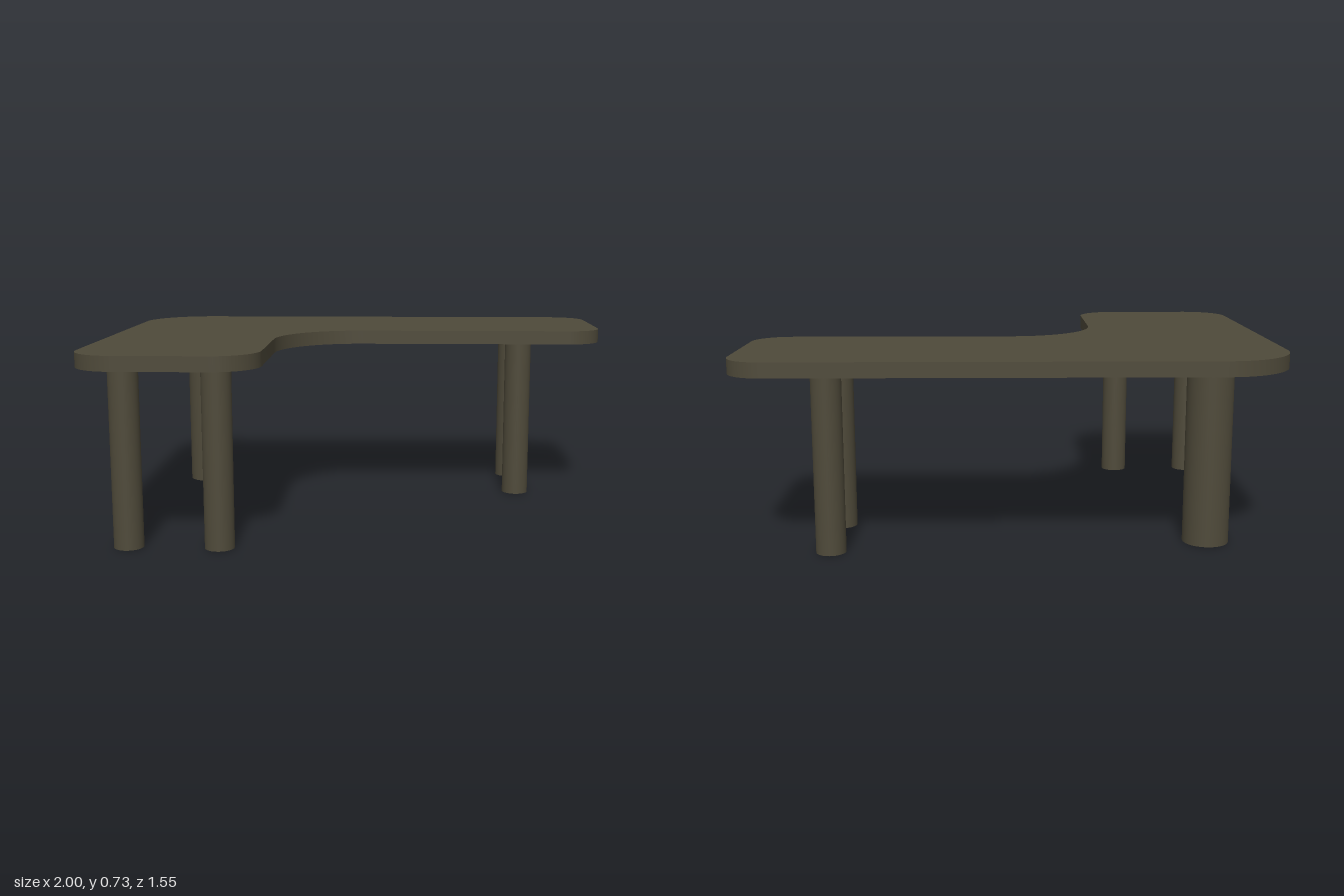
import * as THREE from 'three';
import { toCreasedNormals } from 'three/addons/utils/BufferGeometryUtils.js';

const TOP = 0.725, UNDERSIDE = 0.67;

export function createModel() {
  const model = new THREE.Group();
  model.name = 'cornerDesk';
  const darkWood = new THREE.MeshStandardMaterial({ color: 0x4f4a3a });
  darkWood.name = 'darkWood';

  // L-shaped outline: corner x, corner z, rounding radius
  const corners = [
    [-1, -0.78, 0.27], [1, -0.78, 0.135], [1, -0.115, 0.135],
    [-0.335, -0.115, 0.335], [-0.335, 0.775, 0.165], [-1, 0.775, 0.165],
  ];
  const outline = new THREE.Shape();
  corners.forEach(([x, z, r], i) => {
    const corner = new THREE.Vector2(x, z);
    const towards = (j) => {
      const [nx, nz] = corners[(j + corners.length) % corners.length];
      return new THREE.Vector2(nx, nz).sub(corner).normalize().multiplyScalar(r);
    };
    const a = towards(i - 1), b = towards(i + 1);
    const centre = corner.clone().add(a).add(b);
    const start = b.clone().negate(), end = a.clone().negate();
    const clockwise = start.cross(end) < 0;
    if (i === 0) outline.moveTo(x + a.x, z + a.y);
    else outline.lineTo(x + a.x, z + a.y);
    outline.absarc(centre.x, centre.y, r, start.angle(), end.angle(), clockwise);
  });
  outline.closePath();

  // Tabletop slab
  const slab = new THREE.ExtrudeGeometry(outline, {
    depth: TOP - UNDERSIDE, bevelEnabled: false, curveSegments: 20,
  });
  slab.rotateX(Math.PI / 2);
  const tabletop = new THREE.Mesh(toCreasedNormals(slab, 0.6), darkWood);
  tabletop.name = 'tabletop';
  tabletop.position.y = TOP;
  model.add(tabletop);

  // Round legs, with a thicker one under the corner
  const addLeg = (name, x, z, radius) => {
    const leg = new THREE.Mesh(new THREE.CylinderGeometry(radius, radius, UNDERSIDE, 40), darkWood);
    leg.name = name;
    leg.position.set(x, UNDERSIDE / 2, z);
    model.add(leg);
  };
  addLeg('cornerLeg', -0.725, -0.503, 0.086);
  addLeg('frontOuterLeg', -0.835, 0.612, 0.055);
  addLeg('frontInnerLeg', -0.5, 0.612, 0.055);
  addLeg('sideFrontLeg', 0.665, -0.277, 0.055);
  addLeg('sideBackLeg', 0.665, -0.611, 0.055);

  return model;
}
